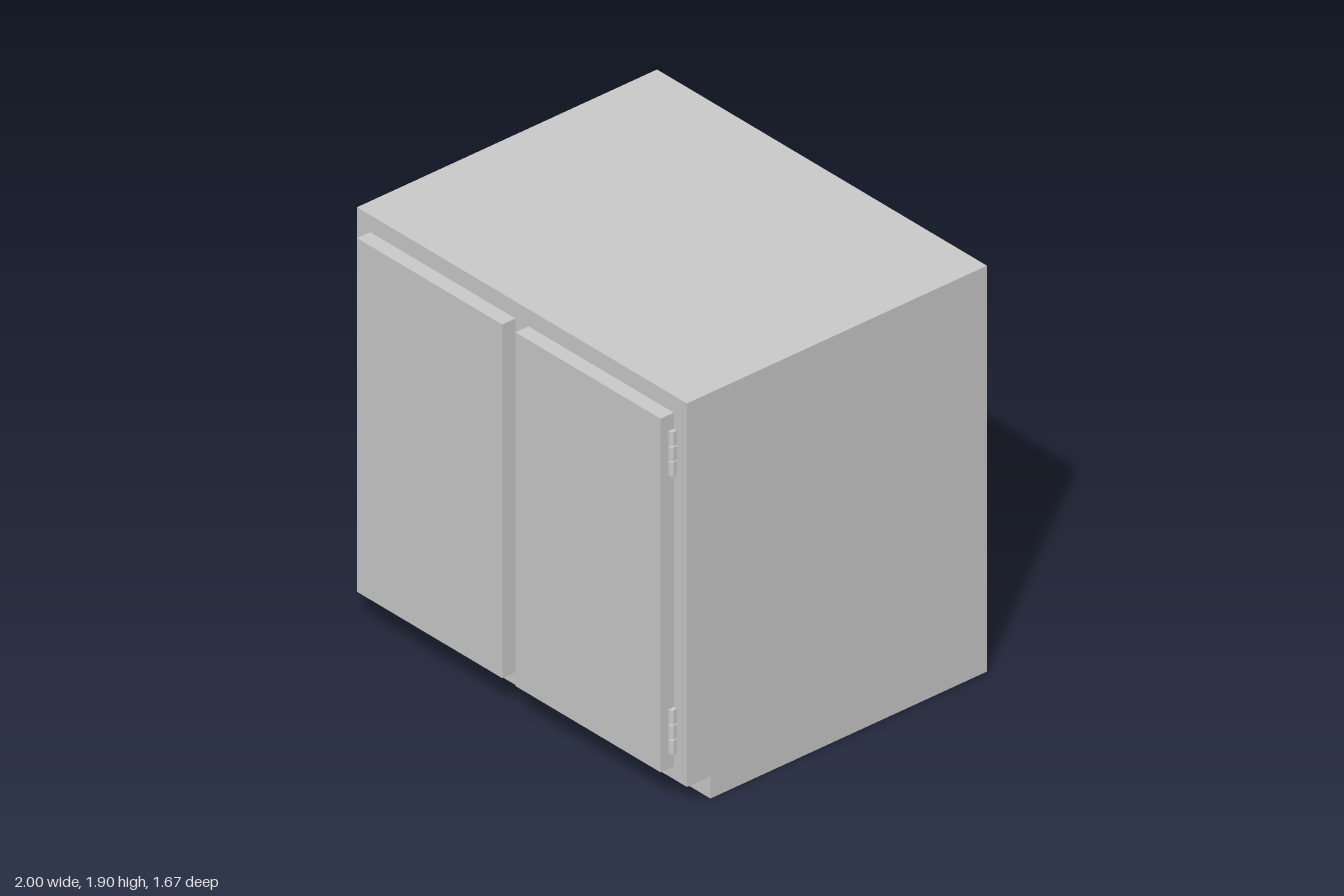
import * as THREE from 'three';

const FRONT = 0.765; // z of the cabinet's face

export function createModel() {
  const group = new THREE.Group();
  const material = new THREE.MeshStandardMaterial({ color: 0xcccccc, flatShading: true });

  const add = (name, geometry, parent = group) => {
    const mesh = new THREE.Mesh(geometry, material);
    mesh.name = name;
    parent.add(mesh);
    return mesh;
  };
  const shapeOf = (points) => new THREE.Shape(points.map(([x, y]) => new THREE.Vector2(x, y)));

  // Cabinet body: side profile (z, y) with a toe-kick recess, extruded across x
  const profile = shapeOf([
    [-0.833, 0], [0.64, 0], [0.64, 0.105], [FRONT, 0.105], [FRONT, 1.905], [-0.833, 1.905],
  ]);
  const body = new THREE.ExtrudeGeometry(profile, { depth: 2, bevelEnabled: false });
  body.rotateY(-Math.PI / 2).translate(1, 0, 0);
  add('cabinetBody', body);

  for (const side of [1, -1]) {
    const label = side > 0 ? 'left' : 'right';

    // Slab door standing proud of the face
    const door = add(`${label}Door`, new THREE.BoxGeometry(0.88, 1.66, 0.07));
    door.position.set(side * 0.48, 0.995, FRONT + 0.035);

    // Two hinges on the outer edge, each with three knuckles
    const knuckle = shapeOf([
      [0.92, FRONT], [0.94, FRONT], [0.94, 0.785], [0.932, 0.795], [0.92, 0.795],
    ].map(([x, z]) => [side * x, -z]));
    for (const [level, bottom] of [['Lower', 0.237], ['Upper', 1.543]]) {
      const hinge = new THREE.Group();
      hinge.name = `${label}${level}Hinge`;
      group.add(hinge);
      for (let i = 0; i < 3; i++) {
        const geometry = new THREE.ExtrudeGeometry(knuckle, { depth: 0.065, bevelEnabled: false });
        geometry.rotateX(-Math.PI / 2).translate(0, bottom + i * 0.071, 0);
        add('hingeKnuckle', geometry, hinge);
      }
    }
  }
  return group;
}
